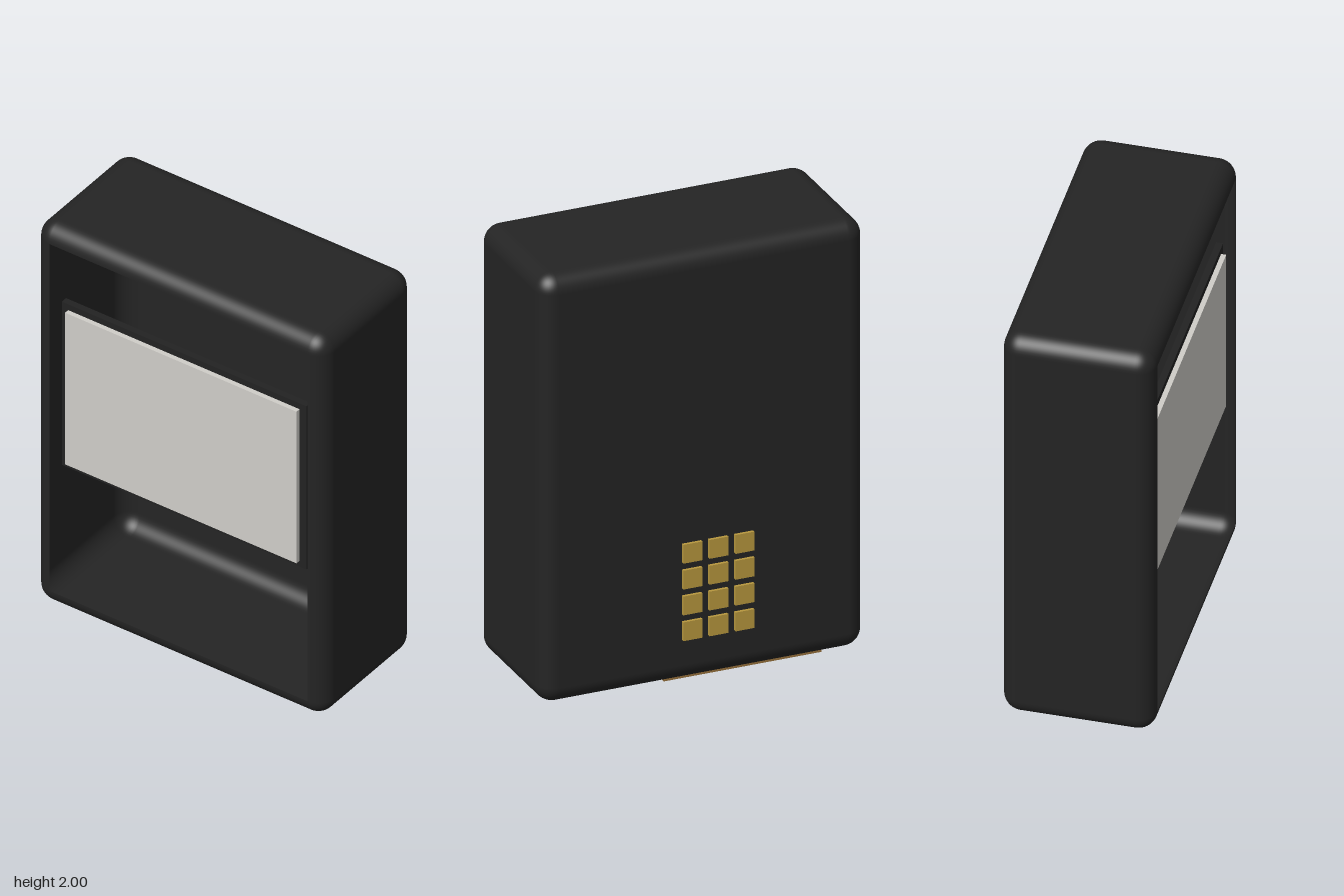
import * as THREE from 'three';
import { RoundedBoxGeometry } from 'three/addons/geometries/RoundedBoxGeometry.js';

const material = (name, color, side = THREE.FrontSide) => {
  const m = new THREE.MeshStandardMaterial({ color, side });
  m.name = name;
  return m;
};

// Rounded case with its flat front panel left out
function openCase(w, h, d, r) {
  const geo = new RoundedBoxGeometry(w, h, d, 6, r);
  const pos = geo.attributes.position, nor = geo.attributes.normal;
  const p = [], n = [];
  for (let i = 0; i < pos.count; i += 3) {
    const corners = [i, i + 1, i + 2];
    if (corners.every((k) => nor.getZ(k) > 0.999)) continue;
    for (const k of corners) {
      p.push(pos.getX(k), pos.getY(k), pos.getZ(k));
      n.push(nor.getX(k), nor.getY(k), nor.getZ(k));
    }
  }
  const out = new THREE.BufferGeometry();
  out.setAttribute('position', new THREE.Float32BufferAttribute(p, 3));
  out.setAttribute('normal', new THREE.Float32BufferAttribute(n, 3));
  return out;
}

export function createModel() {
  const model = new THREE.Group();
  model.name = 'terminal';
  const black = material('case black', 0x242424, THREE.DoubleSide);
  const dark = material('bezel black', 0x222222);
  const grey = material('screen grey', 0xcfcdc8);
  const gold = material('key gold', 0xb8983e);
  const brown = material('base brown', 0x96703c);

  // Box given by its lower and upper limits on each axis
  const slab = (name, mat, [x0, x1], [y0, y1], [z0, z1], parent = model) => {
    const mesh = new THREE.Mesh(new THREE.BoxGeometry(x1 - x0, y1 - y0, z1 - z0), mat);
    mesh.position.set((x0 + x1) / 2, (y0 + y1) / 2, (z0 + z1) / 2);
    mesh.name = name;
    parent.add(mesh);
  };

  // Hollow case, open at the front
  const shell = new THREE.Mesh(openCase(1.47, 1.955, 0.652, 0.08), black);
  shell.position.set(0, 1.0225, 0.007);
  shell.name = 'case';
  model.add(shell);

  // Screen on its bezel, set just inside the opening
  slab('bezel', dark, [-0.622, 0.62], [0.765, 1.61], [0.26, 0.29]);
  slab('screen', grey, [-0.59, 0.585], [0.795, 1.58], [0.28, 0.312]);

  // Keypad set through the back wall
  const keypad = new THREE.Group();
  keypad.name = 'keypad';
  model.add(keypad);
  for (let row = 0; row < 4; row++) {
    for (let col = 0; col < 3; col++) {
      const x = -0.18 + col * 0.118, y = 0.637 - row * 0.118;
      slab('key', gold, [x - 0.043, x + 0.043], [y - 0.043, y + 0.043], [-0.333, -0.305], keypad);
    }
  }

  // Base plate under the case
  slab('base', brown, [-0.59, 0.125], [0, 0.0445], [-0.19, 0.205]);
  return model;
}
